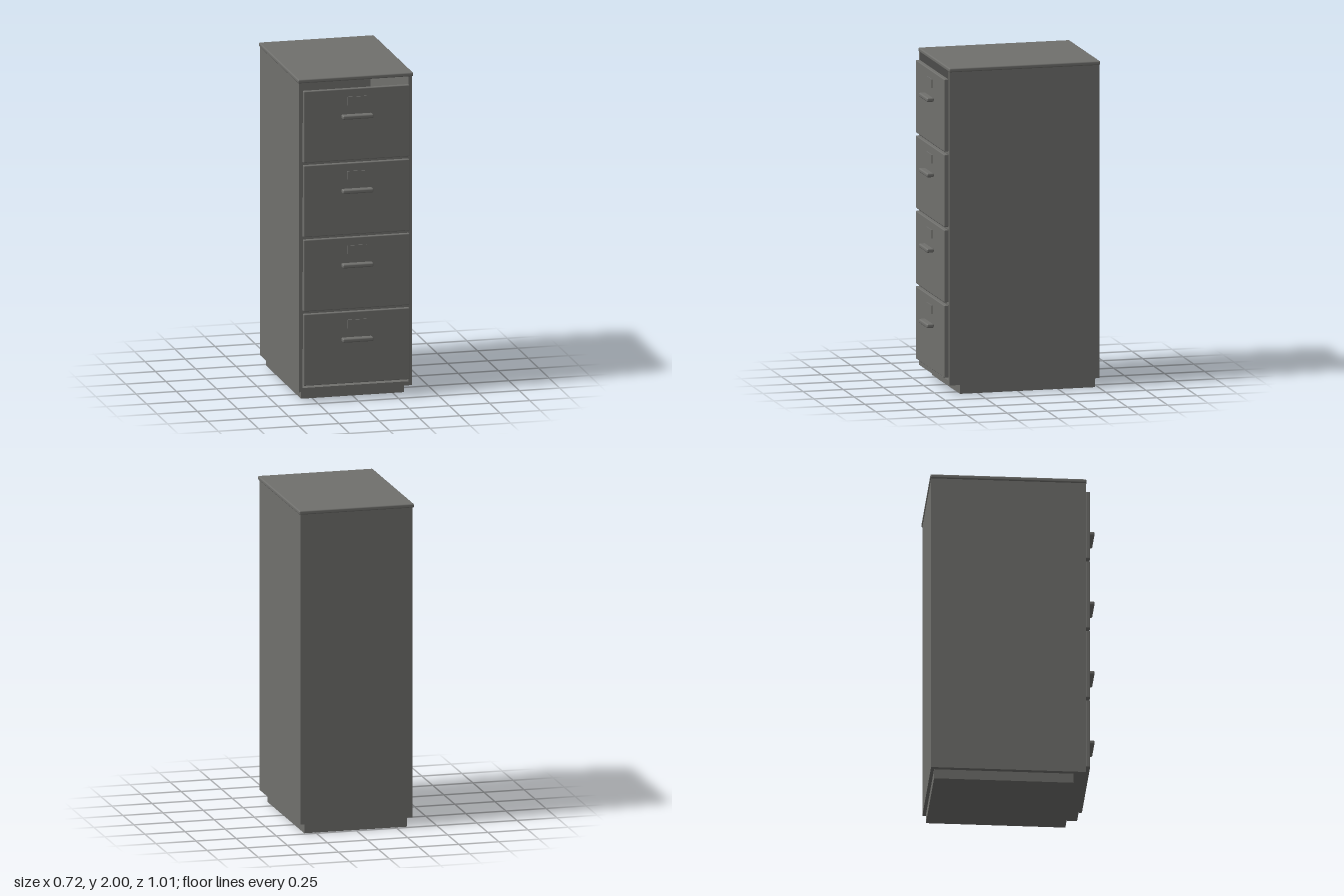
import * as THREE from 'three';
import { RoundedBoxGeometry } from 'three/addons/geometries/RoundedBoxGeometry.js';

const steel = new THREE.MeshStandardMaterial({ color: 0x70706d });
steel.name = 'grey steel';

// Box given by its limits on each axis; a radius softens the edges
function block(parent, name, [x0, x1], [y0, y1], [z0, z1], radius = 0) {
  const size = [x1 - x0, y1 - y0, z1 - z0];
  const geometry = radius
    ? new RoundedBoxGeometry(...size, 2, radius)
    : new THREE.BoxGeometry(...size);
  const mesh = new THREE.Mesh(geometry, steel);
  mesh.name = name;
  mesh.position.set((x0 + x1) / 2, (y0 + y1) / 2, (z0 + z1) / 2);
  parent.add(mesh);
  return mesh;
}

export function createModel() {
  const cabinet = new THREE.Group();
  cabinet.name = 'filingCabinet';
  const back = -0.5, front = 0.433, half = 0.35, wall = 0.02;
  const inner = half - wall;

  // Recessed base and hollow carcass
  block(cabinet, 'plinth', [-0.32, 0.32], [0, 0.06], [-0.48, 0.36]);
  block(cabinet, 'leftSide', [inner, half], [0.06, 1.98], [back, front]);
  block(cabinet, 'rightSide', [-half, -inner], [0.06, 1.98], [back, front]);
  block(cabinet, 'backPanel', [-inner, inner], [0.06, 1.98], [back, back + wall]);
  block(cabinet, 'bottomPanel', [-inner, inner], [0.06, 0.085], [back + wall, front]);
  block(cabinet, 'lid', [-0.358, 0.358], [1.975, 2], [-0.505, 0.437], 0.008);

  // Four drawers, with a shelf under each of the upper three
  const pitch = 0.461, height = 0.443;
  for (let i = 0; i < 4; i++) {
    const y = 0.104 + i * pitch;
    const drawer = new THREE.Group();
    drawer.name = 'drawer' + (i + 1);
    cabinet.add(drawer);
    block(drawer, 'drawerFront', [-0.329, 0.329], [y, y + height], [front, 0.461], 0.005);
    block(drawer, 'labelHolder', [-0.06, 0.06], [y + 0.342, y + 0.394], [0.459, 0.467]);
    block(drawer, 'handle', [-0.097, 0.095], [y + 0.262, y + 0.288], [0.46, 0.505], 0.009);
    if (i > 0) block(cabinet, 'shelf' + i, [-inner, inner], [y - 0.02, y], [back + wall, front - 0.002]);
  }
  return cabinet;
}
